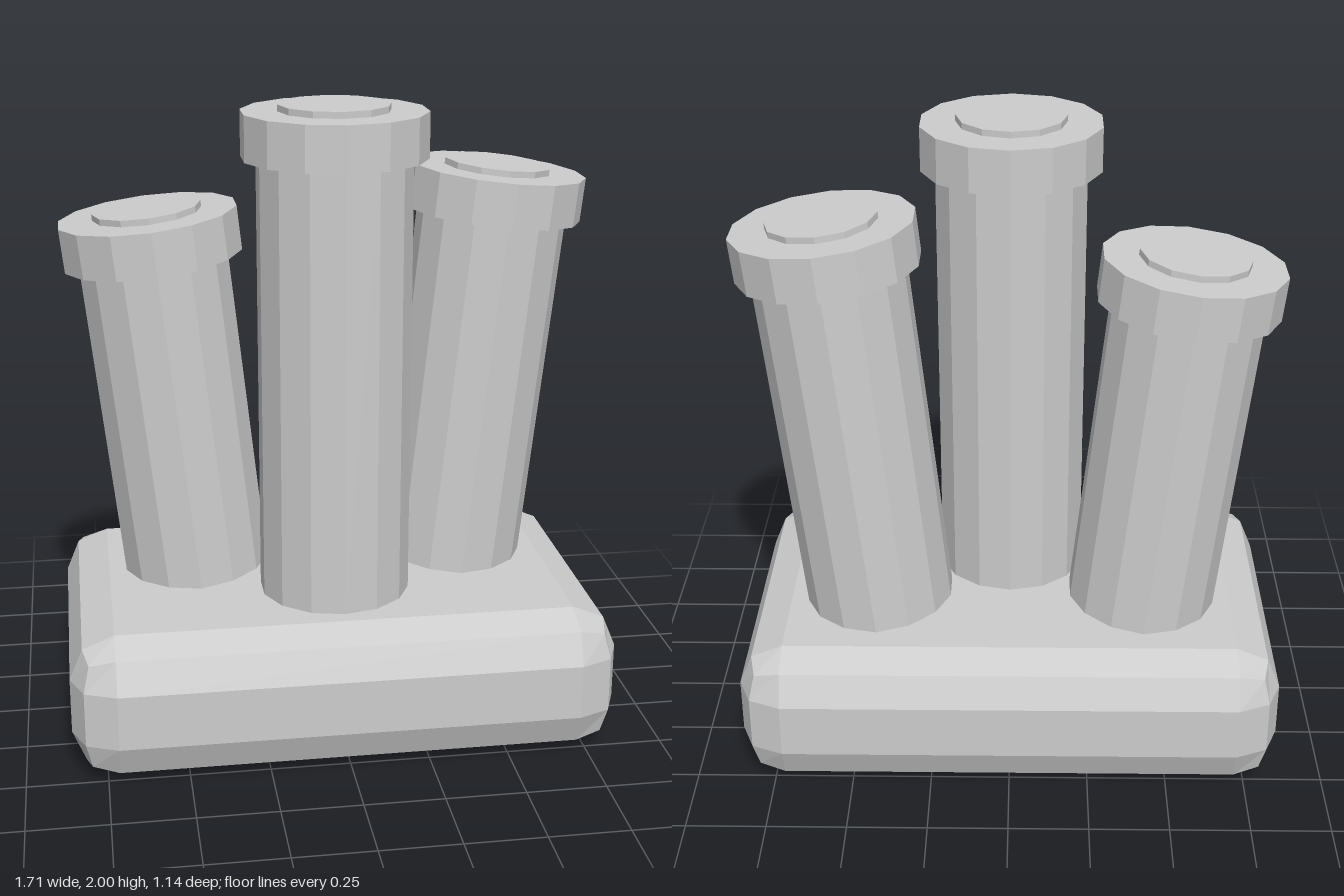
import * as THREE from 'three';
import { RoundedBoxGeometry } from 'three/addons/geometries/RoundedBoxGeometry.js';

const BASE_HEIGHT = 0.455;

export function createModel() {
  const model = new THREE.Group();
  model.name = 'tubeCluster';
  const grey = new THREE.MeshStandardMaterial({ color: 0xcccccc, flatShading: true });
  grey.name = 'light grey';

  const add = (parent, name, geometry, y) => {
    const mesh = new THREE.Mesh(geometry, grey);
    mesh.name = name;
    mesh.position.y = y;
    parent.add(mesh);
  };

  // Chunky base block with two-facet bevels
  add(model, 'base', new RoundedBoxGeometry(1.71, BASE_HEIGHT, 1.14, 1, 0.14), BASE_HEIGHT / 2);

  // Tube with a wide rim cap and a thin disc on top, leaning about its foot
  const addTube = (name, x, z, length, leanDegrees) => {
    const tube = new THREE.Group();
    tube.name = name;
    const rim = 0.14, disc = 0.02, shaft = length - rim;
    add(tube, 'shaft', new THREE.CylinderGeometry(0.238, 0.238, shaft, 14), shaft / 2);
    add(tube, 'rimCap', new THREE.CylinderGeometry(0.284, 0.284, rim, 14), shaft + rim / 2);
    add(tube, 'topDisc', new THREE.CylinderGeometry(0.171, 0.171, disc, 12), length + disc / 2);
    tube.position.set(x, BASE_HEIGHT, z);
    tube.rotation.z = THREE.MathUtils.degToRad(leanDegrees);
    model.add(tube);
  };

  addTube('centreTube', 0, 0.143, 1.525, 0);
  addTube('leftTube', 0.425, -0.114, 1.298, -6);
  addTube('rightTube', -0.425, -0.114, 1.184, 6.2);

  return model;
}
